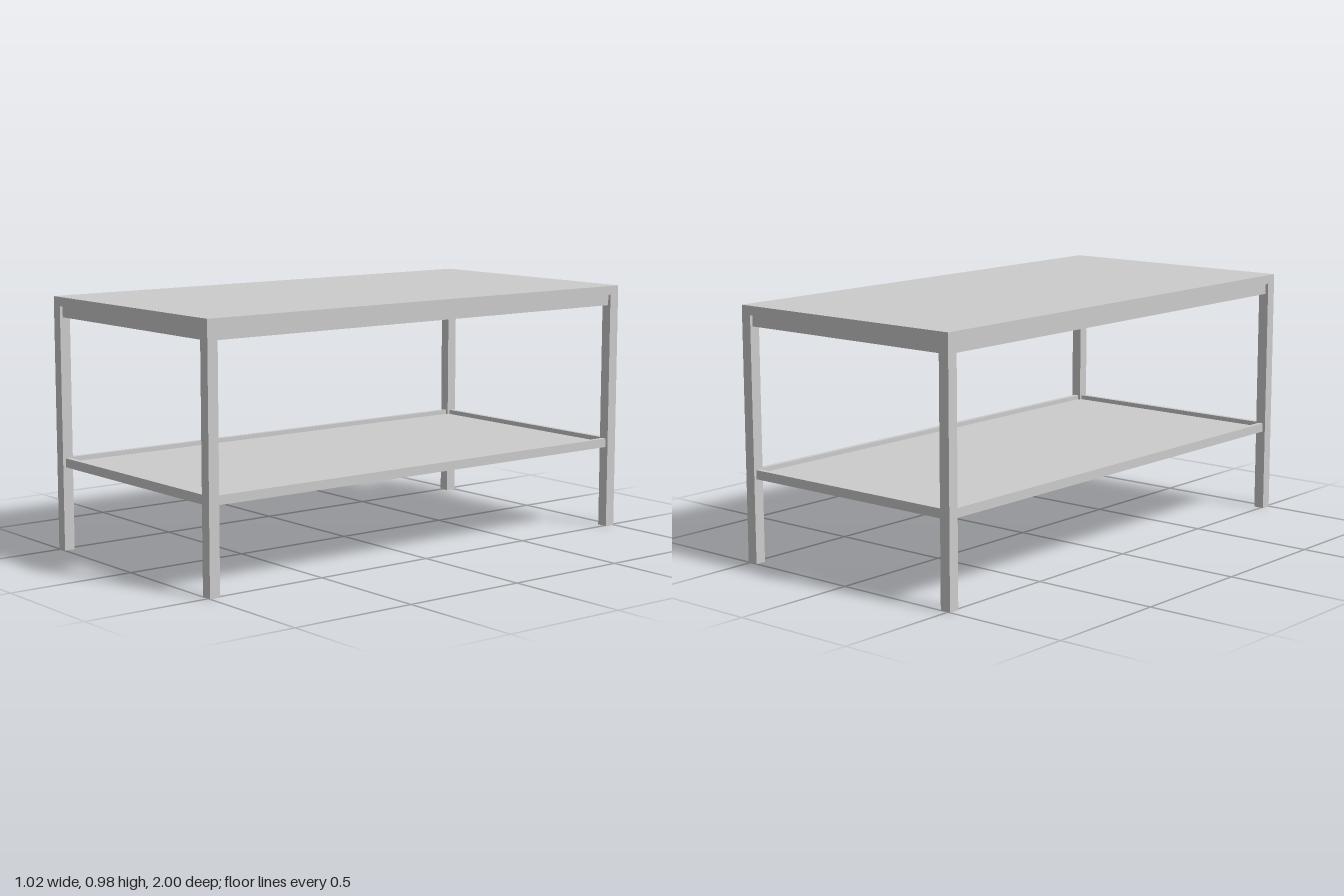
import * as THREE from 'three';

const W = 1.02, D = 2, H = 0.98; // overall footprint and height
const LEG = 0.043, TOP = 0.035;  // leg section, top thickness
const INSET = 0.012, RAIL = 0.02; // rail setback and thickness

export function createModel() {
  const model = new THREE.Group();
  const material = new THREE.MeshStandardMaterial({ color: 0xcccccc, flatShading: true });

  // Box given by its size, centre x/z and bottom height
  function box(name, w, h, d, x, y, z) {
    const mesh = new THREE.Mesh(new THREE.BoxGeometry(w, h, d), material);
    mesh.name = name;
    mesh.position.set(x, y + h / 2, z);
    model.add(mesh);
  }

  // Four rails running between the legs
  function railFrame(name, y, h) {
    for (const s of [-1, 1]) {
      box(name + 'SideRail', RAIL, h, D - 2 * LEG, s * (W / 2 - INSET - RAIL / 2), y, 0);
      box(name + 'EndRail', W - 2 * LEG, h, RAIL, 0, y, s * (D / 2 - INSET - RAIL / 2));
    }
  }

  // Table top
  box('tableTop', W, TOP, D, 0, H - TOP, 0);

  // Legs flush with the corners of the top
  for (const sx of [-1, 1]) {
    for (const sz of [-1, 1]) {
      box('leg', LEG, H - TOP, LEG, sx * (W - LEG) / 2, 0, sz * (D - LEG) / 2);
    }
  }

  // Apron under the top and frame around the shelf
  railFrame('apron', 0.902, H - TOP - 0.902);
  railFrame('shelf', 0.325, 0.035);

  // Shelf panel, recessed within its frame
  const inner = 2 * (INSET + RAIL);
  box('shelfPanel', W - inner, 0.012, D - inner, 0, 0.33, 0);

  return model;
}
